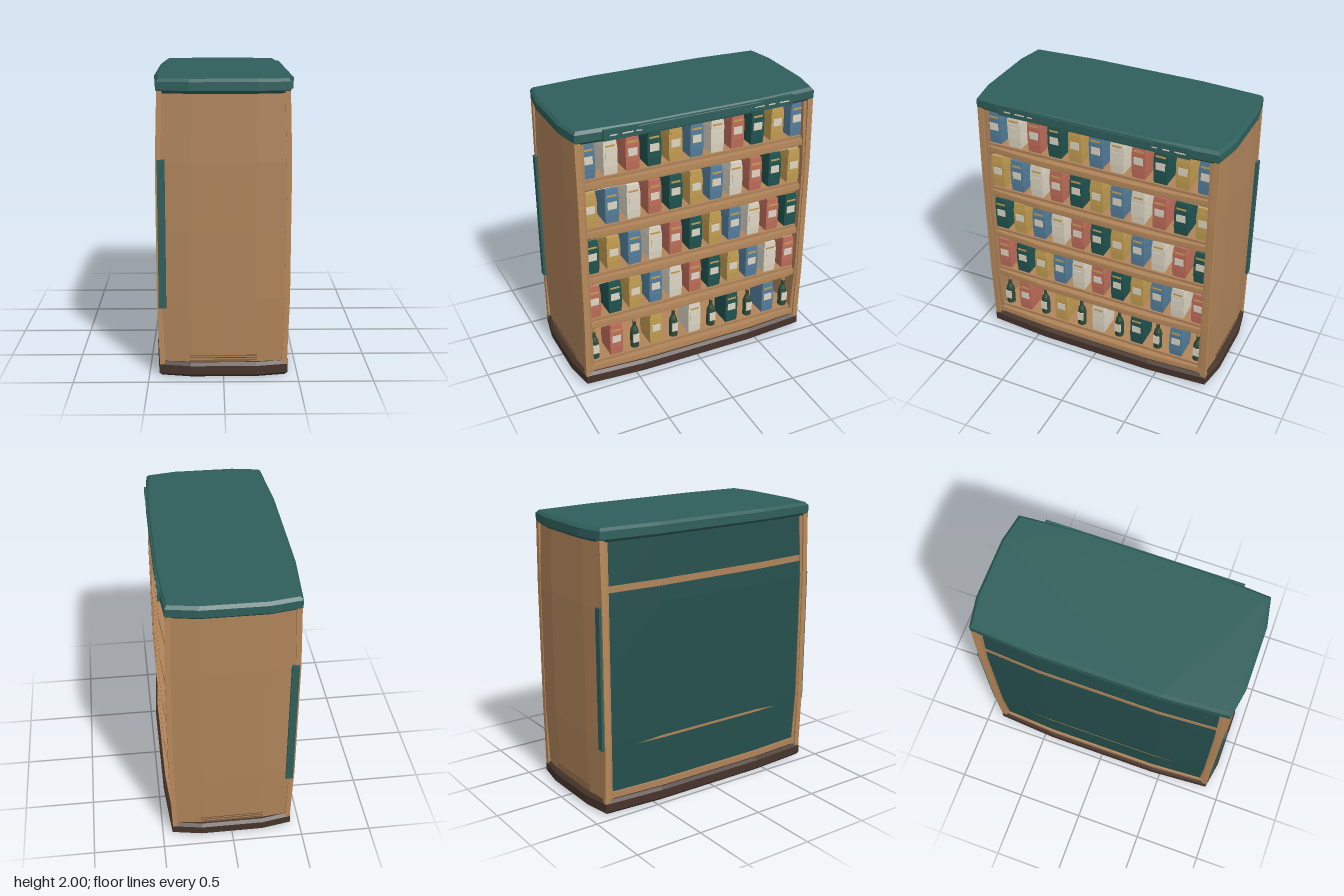
import * as THREE from 'three';

const COLORS = {
  wood: 0xb0845a, edge: 0xb98a5b, teal: 0x2f5f5b, backTeal: 0x25504d, dark: 0x46342b, line: 0x5f4630,
  blue: 0x557f9c, cream: 0xded6c4, red: 0xc06e5a, green: 0x215450, yellow: 0xc39e52, bottle: 0x2c4a38,
};
const mats = {};
for (const [k, color] of Object.entries(COLORS)) {
  mats[k] = new THREE.MeshStandardMaterial({ color, flatShading: true });
}

function add(parent, name, geo, mat, x = 0, y = 0, z = 0) {
  const m = new THREE.Mesh(geo, mats[mat]);
  m.name = name;
  m.position.set(x, y, z);
  parent.add(m);
  return m;
}
const box = (w, h, d) => new THREE.BoxGeometry(w, h, d);

// 0 over the middle half of a span, rising to 1 at its ends
const ends = (v, half) => Math.max(0, Math.abs(v) / half - 0.5) * 2;

// Box in four segments per direction, reshaped by a rule on each vertex
function shaped(w, h, d, rule) {
  const g = new THREE.BoxGeometry(w, h, d, 4, 4, 4);
  const p = g.attributes.position, v = new THREE.Vector3();
  for (let i = 0; i < p.count; i++) {
    v.fromBufferAttribute(p, i);
    rule(v);
    p.setXYZ(i, v.x, v.y, v.z);
  }
  g.computeVertexNormals();
  return g;
}

// Bevelled slab with bowed sides, used for the cap and the plinth
function slab(height) {
  const b = 0.02;
  const quarter = [[0.455, 0.45], [0.425, 0.885], [0.23, 0.92]];
  const pts = [];
  for (const [sx, sz] of [[1, 1], [-1, 1], [-1, -1], [1, -1]]) {
    const q = quarter.map(([x, z]) => new THREE.Vector2(sx * (x - b + 0.008), sz * (z - b + 0.004)));
    pts.push(...(sx * sz > 0 ? q : q.reverse()));
  }
  const g = new THREE.ExtrudeGeometry(new THREE.Shape(pts), {
    depth: height - 2 * b, bevelThickness: b, bevelSize: b, bevelSegments: 1,
  });
  g.rotateX(-Math.PI / 2);
  g.translate(0, b, 0);
  return g;
}

function cabinet(root) {
  add(root, 'plinth', slab(0.1), 'dark');
  add(root, 'roofCap', slab(0.095), 'teal', 0, 1.905, 0);

  // Bowed end panels with edge strips and scored lines
  for (const s of [1, -1]) {
    const end = new THREE.Group();
    end.name = s > 0 ? 'frontEnd' : 'backEnd';
    root.add(end);
    add(end, 'endPanel', shaped(0.87, 1.84, 0.05, (v) => {
      const fx = ends(v.x, 0.435), fy = ends(v.y, 0.92);
      v.x *= 1 - 0.05 * fy;
      v.z -= s * (0.02 * fx + 0.012 * fy);
    }), 'wood', 0, 1, s * 0.875);
    add(end, 'edgeStrip', box(0.05, 1, 0.03), 'teal', -0.405, 0.98, s * 0.889);
    for (const y of [0.11, 0.128, 0.145]) {
      add(end, 'scoredLine', box(0.45, 0.004, 0.004), 'line', 0, y, s * 0.889);
    }
    for (const sx of [1, -1]) {
      add(end, 'cornerPost', shaped(0.035, 1.84, 0.04, (v) => {
        v.x -= sx * 0.015 * ends(v.y, 0.92);
      }), 'edge', sx * 0.425, 1, s * 0.867);
    }
  }

  // Bowed rear wall
  add(root, 'rearWall', shaped(0.03, 1.84, 1.7, (v) => {
    v.x += 0.02 * ends(v.y, 0.92) + 0.025 * ends(v.z, 0.85);
  }), 'backTeal', -0.435, 1, 0);

  // Header board with a row of thin dashes
  add(root, 'headerBoard', box(0.02, 0.075, 1.4), 'teal', 0.45, 1.953, 0);
  for (let i = 0; i < 14; i++) {
    add(root, 'headerDash', box(0.006, 0.008, i % 3 ? 0.075 : 0.05), 'cream', 0.46, 1.95, 0.63 - i * 0.097);
  }
}

const SHELF_TOPS = [1.615, 1.25, 0.885, 0.52, 0.155];

function shelves(root) {
  SHELF_TOPS.forEach((top, i) => {
    const bow = (v) => { v.x *= 1 - 0.06 * ends(v.z, 0.85); };
    add(root, 'shelf', shaped(0.892, 0.045, 1.7, bow), 'wood', -0.002, top - 0.0225, 0);
    add(root, 'shelfLip', shaped(0.02, 0.028, 1.68, (v) => {
      v.x -= 0.027 * ends(v.z, 0.84);
    }), 'edge', 0.437, top - 0.018, 0);
    if (i < 4) {
      add(root, 'underShelfRail', box(0.03, 0.014, 1.66), 'line', 0.39, top - 0.051, 0);
      add(root, 'lightStrip', box(0.02, 0.008, 1.62), i % 2 ? 'yellow' : 'cream', 0.39, top - 0.062, 0);
    }
  });
}

// Carton, slightly pinched at both ends, with a label and a tab
const cartonGeo = shaped(0.18, 0.255, 0.1, (v) => {
  const f = Math.max(0, Math.abs(v.y) / 0.1275 - 0.5) * 2;
  v.x *= 1 - 0.05 * f;
  v.z *= 1 - (v.y > 0 ? 0.14 : 0.07) * f;
});
function carton(parent, color, y, z) {
  const g = new THREE.Group();
  g.name = 'carton';
  g.position.set(0.3, y, z);
  add(g, 'cartonBody', cartonGeo, color, 0, 0.1275, 0);
  add(g, 'cartonLabel', box(0.008, 0.055, 0.066), 'cream', 0.09, 0.135, 0);
  add(g, 'cartonTab', box(0.008, 0.013, 0.07), 'yellow', 0.088, 0.208, 0);
  parent.add(g);
}

// Bottle with a label and a stopper
const bottleGeo = new THREE.LatheGeometry([
  [0, 0], [0.03, 0], [0.033, 0.02], [0.033, 0.14], [0.027, 0.17], [0.013, 0.2], [0.013, 0.245], [0, 0.245],
].map(([r, y]) => new THREE.Vector2(r, y)), 10);
function bottle(parent, y, z) {
  const g = new THREE.Group();
  g.name = 'bottle';
  g.position.set(0.35, y, z);
  add(g, 'bottleGlass', bottleGeo, 'bottle');
  add(g, 'bottleLabel', box(0.01, 0.07, 0.046), 'cream', 0.031, 0.105, 0);
  add(g, 'stopper', new THREE.CylinderGeometry(0.015, 0.015, 0.025, 10), 'edge', 0, 0.255, 0);
  parent.add(g);
}

export function createModel() {
  const root = new THREE.Group();
  root.name = 'stockedShelfCabinet';
  cabinet(root);
  shelves(root);

  // Goods: each row shifts the colour order by one; bottles alternate below
  const order = ['blue', 'cream', 'red', 'green', 'yellow'];
  SHELF_TOPS.forEach((top, row) => {
    const goods = new THREE.Group();
    goods.name = 'goodsRow';
    root.add(goods);
    for (let i = 0; i < 11; i++) {
      const z = 0.787 - i * 0.1574;
      if (row === 4 && i % 2 === 0) bottle(goods, top, z);
      else carton(goods, order[(i - row + 5) % 5], top + 0.02, z);
    }
    // Low tray that the goods stand on
    add(goods, 'tray', box(0.2, 0.022, 1.66), 'wood', 0.3, top + 0.01, 0);
  });
  return root;
}
